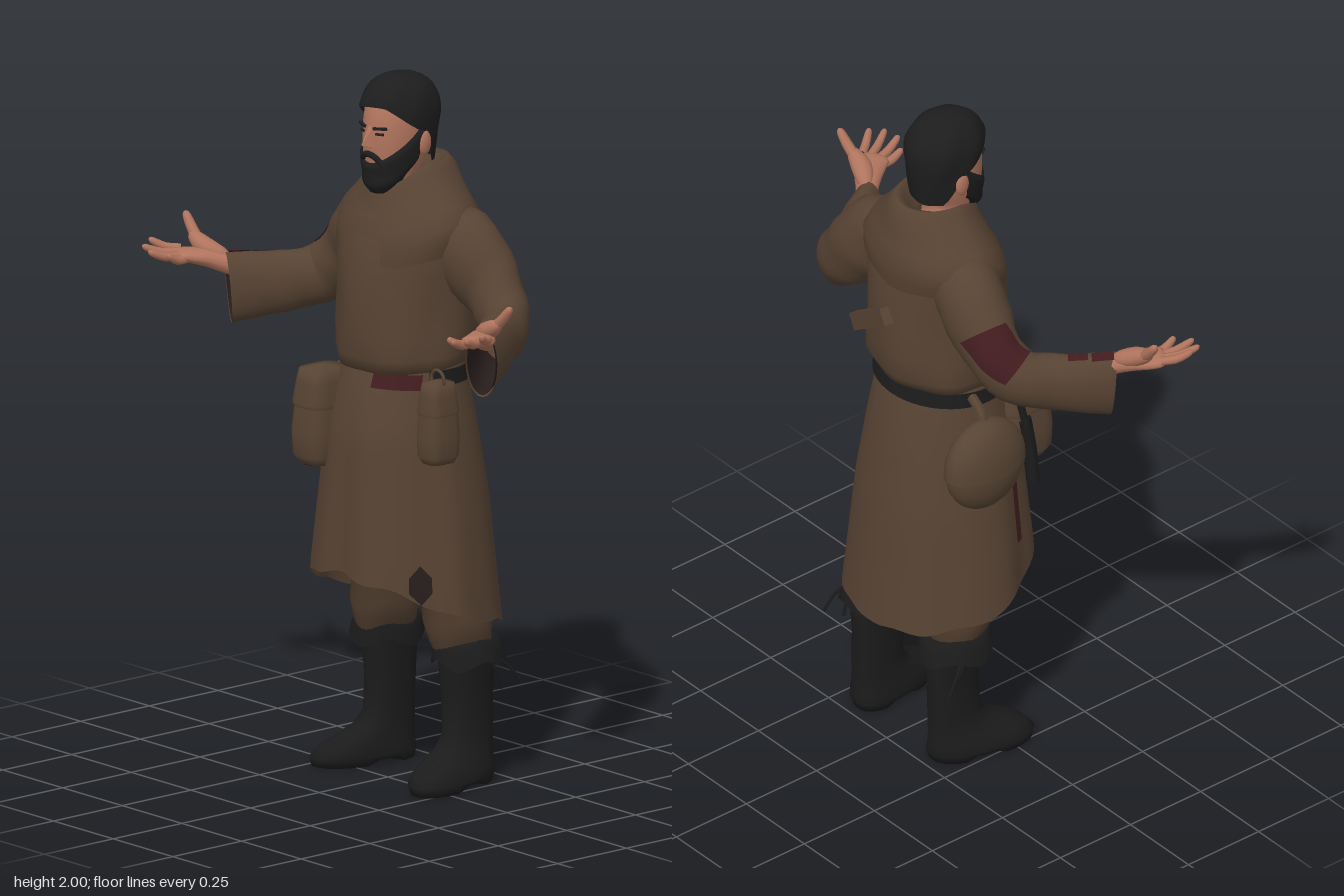
import * as THREE from 'three';
import { ConvexGeometry } from 'three/addons/geometries/ConvexGeometry.js';

const V = (x, y, z) => new THREE.Vector3(x, y, z);
const { sin, cos, abs, max, min, sign, pow, PI } = Math;
const TAU = PI * 2;
const mat = (name, color, side = THREE.FrontSide) => {
  const m = new THREE.MeshStandardMaterial({ color, side });
  m.name = name;
  return m;
};

// Surface from fn(u, v); its front faces dU x dV. A full turn in v is welded.
function grid(fn, nu, nv, [u0, u1] = [0, 1], [v0, v1] = [0, TAU]) {
  const closed = abs(v1 - v0 - TAU) < 1e-6, cols = closed ? nv : nv + 1;
  const pos = [], index = [];
  for (let i = 0; i <= nu; i++) {
    for (let j = 0; j < cols; j++) {
      const p = fn(u0 + (u1 - u0) * i / nu, v0 + (v1 - v0) * j / nv);
      pos.push(p.x, p.y, p.z);
    }
  }
  for (let i = 0; i < nu; i++) {
    for (let j = 0; j < nv; j++) {
      const k = (j + 1) % cols, a = i * cols, b = a + cols;
      index.push(a + j, b + j, b + k, a + j, b + k, a + k);
    }
  }
  const g = new THREE.BufferGeometry();
  g.setAttribute('position', new THREE.Float32BufferAttribute(pos, 3));
  g.setIndex(index);
  g.computeVertexNormals();
  return g;
}

// Rows are [y, centre x, centre z, half width, half depth], from bottom to top.
const rowAt = (rows, t) => {
  const i = min(Math.floor(t), rows.length - 2);
  return rows[i].map((a, k) => a + (rows[i + 1][k] - a) * (t - i));
};
const rowAtY = (rows, y) => {
  let i = 0;
  while (i < rows.length - 2 && rows[i + 1][0] < y) i++;
  const t = (y - rows[i][0]) / (rows[i + 1][0] - rows[i][0]);
  return rowAt(rows, i + min(1, max(0, t)));
};
const bend = (c, p) => sign(c) * pow(abs(c), p);
const ringPoint = ([y, cx, cz, rx, rz], a, off = 0, p = 1) =>
  V(cx + bend(cos(a), p) * (rx + off), y, cz + bend(sin(a), p) * (rz + off));

// Solid of stacked rings, with an optional rule that moves each point
function stack(rows, { p = 1, n = 28, warp = (q) => q } = {}) {
  const last = rows.length - 1;
  return grid((u, a) => warp(ringPoint(rowAt(rows, u * last), a, 0, p), a, u), last, n);
}

// Limb surface along a path; rows are [x, y, z, half width, half height]
function limb(rows) {
  const path = new THREE.CatmullRomCurve3(rows.map((r) => V(r[0], r[1], r[2])), false, 'catmullrom');
  const size = new THREE.CatmullRomCurve3(rows.map((r) => V(r[3], r[4], 0)), false, 'catmullrom');
  return (u, a, off = 0) => {
    const t = path.getTangent(u), s = size.getPoint(u);
    const side = t.clone().cross(V(0, 1, 0)).normalize(), up = side.clone().cross(t);
    return path.getPoint(u).addScaledVector(side, cos(a) * (s.x + off)).addScaledVector(up, sin(a) * (s.y + off));
  };
}

export function createModel() {
  const model = new THREE.Group();
  model.name = 'robedMan';
  const cloth = mat('brown cloth', 0x574333, THREE.DoubleSide);
  const trouser = mat('dark brown cloth', 0x503d2e);
  const leather = mat('pouch leather', 0x574433, THREE.DoubleSide);
  const skin = mat('skin', 0xb0745d);
  const hairMat = mat('black hair', 0x1d1d1e, THREE.DoubleSide);
  const black = mat('black leather', 0x1b1b1c, THREE.DoubleSide);
  const maroon = mat('maroon patch', 0x421c1f, THREE.DoubleSide);
  const lining = mat('dark lining', 0x281d1d, THREE.DoubleSide);
  const add = (name, geo, material, parent = model) => {
    const m = new THREE.Mesh(geo, material);
    m.name = name;
    parent.add(m);
    return m;
  };
  const rod = (name, pts, r, material) =>
    add(name, new THREE.TubeGeometry(new THREE.CatmullRomCurve3(pts.map((p) => V(...p))), 8, r, 6), material);

  // Skirt of the robe: hem high in front and low behind, folds deepen downward
  const skirt = [[0.43, 0, -0.066, 0.28, 0.253], [0.6, 0, -0.06, 0.265, 0.242], [0.8, 0, -0.06, 0.243, 0.225],
    [1.0, 0, -0.052, 0.215, 0.203], [1.12, 0, -0.055, 0.195, 0.175], [1.2, 0, -0.058, 0.185, 0.15]];
  const hem = (a) => (sin(a) > 0 ? 0.49 + 0.12 * pow(sin(a), 1.2) : 0.49 + 0.06 * sin(a)) + 0.006 * sin(a * 9);
  const skirtPoint = (y, a, off = 0) => {
    const fold = (1.2 - y) * (0.013 * sin(a * 6 + 1) + 0.007 * sin(a * 11)) * (0.55 + 0.45 * sin(a));
    return ringPoint(rowAtY(skirt, y), a, fold + off);
  };
  add('robeSkirt', grid((u, a) => skirtPoint(hem(a) + (1.2 - hem(a)) * u, a), 14, 72), cloth);
  add('skirtTear', grid((u, a) => skirtPoint(0.6 + (u - 0.5) * 0.11 * (1 - 0.6 * abs(a - 0.58) / 0.13), a, 0.004),
    4, 6, [0, 1], [0.45, 0.71]), lining);
  add('skirtSlit', grid((y, a) => skirtPoint(y, a, 0.004), 6, 2, [0.66, 0.86], [2.68, 2.8]), maroon);

  // Belt round the sides and back, with a maroon piece in front
  const belt = (name, a0, a1, y0, y1, off, m) =>
    add(name, grid((u, a) => ringPoint(rowAtY(skirt, u), a, off), 1, 32, [y0, y1], [a0, a1]), m);
  belt('belt', PI - 0.4, TAU + 0.4, 1.148, 1.192, 0.012, black);
  belt('beltFront', 0.5, 1.28, 1.14, 1.182, 0.008, maroon);

  // Upper robe, bloused over the belt
  const torso = [[1.185, 0, -0.06, 0.165, 0.14], [1.195, 0, -0.062, 0.192, 0.172], [1.23, 0, -0.066, 0.206, 0.186],
    [1.3, 0, -0.068, 0.206, 0.189], [1.38, 0, -0.068, 0.204, 0.185], [1.46, 0, -0.069, 0.208, 0.181],
    [1.54, 0, -0.074, 0.214, 0.168], [1.61, 0, -0.08, 0.205, 0.15], [1.67, 0, -0.085, 0.15, 0.12]];
  add('robeTop', stack(torso, {
    n: 48,
    warp: (q, a, u) => {
      const f = 1 + (1 - u) * 0.03 * sin(a * 7 + u * 5) + 0.012 * sin(a * 4 - u * 9);
      return V(q.x * f, q.y - 0.02 * max(0, sin(a)) * (1 - u), -0.065 + (q.z + 0.065) * f);
    },
  }), cloth);

  // Draped cowl with a rolled collar, dipping to the chest in front
  const cowl = [[1.48, 0, -0.072, 0.2, 0.168], [1.55, 0, -0.074, 0.225, 0.178], [1.6, 0, -0.077, 0.228, 0.168],
    [1.64, 0, -0.078, 0.195, 0.158], [1.685, 0, -0.08, 0.152, 0.146], [1.73, 0, -0.08, 0.115, 0.132],
    [1.755, 0, -0.075, 0.1, 0.116], [1.745, 0, -0.07, 0.088, 0.1], [1.68, 0, -0.06, 0.06, 0.07]];
  add('cowl', stack(cowl, {
    n: 48,
    warp: (q, a, u) => {
      const s = sin(a), f = 1 + 0.026 * sin(u * 15 + 2.5 * s) * abs(s);
      return V(q.x * f, q.y - 0.07 * max(0, s) * pow(abs(s), 0.5) + 0.012 * (1 - u) * abs(cos(a)), -0.07 + (q.z + 0.07) * f);
    },
  }), cloth);

  // Cloth strip sewn across the back
  const strip = add('backStrip', new THREE.BoxGeometry(0.2, 0.05, 0.03), cloth);
  strip.position.set(0.065, 1.37, -0.25);
  strip.rotation.set(0, -0.16, -0.6);

  for (const s of [1, -1]) {
    const sideName = s > 0 ? 'left' : 'right';
    const put = (rows, i = 0) => rows.map((r) => r.map((v, k) => (k === i ? v * s : v)));

    // Sleeve with a wide open cuff
    const sleeve = limb(put([[0.1, 1.575, -0.095, 0.09, 0.085], [0.2, 1.515, -0.115, 0.096, 0.115],
      [0.295, 1.42, -0.127, 0.08, 0.093], [0.375, 1.348, -0.1, 0.07, 0.083], [0.43, 1.325, -0.025, 0.058, 0.085],
      [0.485, 1.315, 0.05, 0.052, 0.093], [0.53, 1.308, 0.12, 0.046, 0.101]]));
    const folded = (u, a, off = 0) => sleeve(u, a, off + 0.005 * sin(u * 34 + a * 2) * (1 - u));
    add(sideName + 'Sleeve', grid(folded, 24, 24), cloth);
    add(sideName + 'CuffLining', grid((u, a) => sleeve(u, a, -0.005), 6, 24, [0.6, 0.998]), lining);
    if (s < 0) {
      add('elbowPatch', grid((u, a) => folded(u, a, 0.004), 8, 12, [0.29, 0.48], [0.1, 1.8]), maroon);
      add('forearmPatch', grid((u, a) => folded(u, a, 0.004), 4, 5, [0.74, 0.84], [1.2, 1.65]), maroon);
      add('cuffPatch', grid((u, a) => folded(u, a, 0.004), 4, 5, [0.86, 0.985], [1.1, 1.6]), maroon);
    }

    // Open hand, palm up, thumb side raised
    const hand = new THREE.Group();
    hand.name = sideName + 'Hand';
    model.add(hand);
    add('palm', grid(limb(put([[0.49, 1.35, 0.06, 0.028, 0.028], [0.535, 1.375, 0.12, 0.03, 0.028],
      [0.57, 1.39, 0.155, 0.038, 0.026], [0.602, 1.397, 0.19, 0.045, 0.021], [0.622, 1.402, 0.22, 0.042, 0.014],
      [0.627, 1.403, 0.228, 0.001, 0.001]])), 14, 14), skin, hand);
    add('thumbBase', grid(limb(put([[0.53, 1.385, 0.115, 0.002, 0.002], [0.545, 1.395, 0.125, 0.02, 0.02],
      [0.59, 1.415, 0.15, 0.03, 0.027], [0.635, 1.44, 0.155, 0.018, 0.018], [0.65, 1.45, 0.155, 0.002, 0.002]])), 10, 12), skin, hand);
    const fingers = [[0.645, 1.41, 0.195, 0.697, 1.44, 0.265], [0.63, 1.404, 0.212, 0.678, 1.43, 0.306],
      [0.61, 1.399, 0.222, 0.636, 1.424, 0.32], [0.59, 1.394, 0.22, 0.588, 1.418, 0.292], [0.6, 1.42, 0.155, 0.684, 1.5, 0.145]];
    fingers.forEach(([x, y, z, X, Y, Z], i) => {
      const r = i === 4 ? 0.016 : 0.0125, at = (t, q) =>
        [x + (X - x) * t, y + (Y - y) * t - 0.01 * sin(t * PI), z + (Z - z) * t, q, q];
      add(i === 4 ? 'thumb' : 'finger', grid(limb(put([at(0, r), at(0.45, r), at(0.8, r * 0.85), at(0.95, r * 0.6), at(1, 0.0005)])), 8, 8), skin, hand);
    });

    // Trouser leg, boot, turned-down cuff and laces
    add(sideName + 'TrouserLeg', stack(put([[0.36, 0.16, -0.13, 0.055, 0.075], [0.41, 0.157, -0.125, 0.084, 0.09],
      [0.46, 0.152, -0.12, 0.093, 0.098], [0.54, 0.145, -0.115, 0.086, 0.095], [0.75, 0.11, -0.1, 0.1, 0.12]], 1),
    { warp: (q, a) => V(q.x, q.y + 0.01 * sin(a * 3), q.z) }), trouser);
    add(sideName + 'Boot', stack(put([[0, 0.177, -0.07, 0.001, 0.001], [0, 0.177, -0.07, 0.072, 0.15], [0.025, 0.178, -0.07, 0.076, 0.158],
      [0.05, 0.177, -0.079, 0.072, 0.147], [0.075, 0.173, -0.1, 0.063, 0.124], [0.1, 0.169, -0.128, 0.056, 0.096],
      [0.14, 0.165, -0.147, 0.052, 0.078], [0.25, 0.161, -0.148, 0.054, 0.077], [0.37, 0.163, -0.145, 0.066, 0.085]], 1), {
      p: 0.85,
      n: 36,
      warp: (q) => V(q.x + s * (q.z + 0.12) * 0.17 * max(0, 1 - q.y / 0.15),
        q.y + (q.y < 0.01 && abs(q.z + 0.09) < 0.05 ? 0.014 : 0), q.z),
    }), black);
    add(sideName + 'BootCuff', stack(put([[0.345, 0.172, -0.146, 0.096, 0.11], [0.385, 0.167, -0.143, 0.09, 0.103],
      [0.412, 0.163, -0.14, 0.08, 0.094], [0.405, 0.162, -0.14, 0.06, 0.08]], 1),
    { warp: (q, a, u) => V(q.x, q.y + 0.014 * sin(a * 4 + s) * (1 - u), q.z) }), black);
    rod(sideName + 'Lace', [[s * 0.235, 0.37, -0.17], [s * 0.262, 0.33, -0.215], [s * 0.272, 0.28, -0.25]], 0.005, black);
    rod(sideName + 'Lace', [[s * 0.235, 0.36, -0.16], [s * 0.242, 0.31, -0.19], [s * 0.235, 0.265, -0.21]], 0.005, black);
  }

  // Head
  const face = [[1.62, 0, -0.06, 0.055, 0.055], [1.69, 0, -0.045, 0.058, 0.065], [1.7, 0, -0.012, 0.055, 0.068],
    [1.735, 0, -0.018, 0.07, 0.08], [1.78, 0, -0.026, 0.08, 0.094], [1.82, 0, -0.033, 0.085, 0.102],
    [1.86, 0, -0.036, 0.087, 0.103], [1.91, 0, -0.042, 0.086, 0.1], [1.95, 0, -0.045, 0.07, 0.08], [1.97, 0, -0.045, 0.001, 0.001]];
  add('head', stack(face), skin);
  const nose = [[0, 1.868, 0.068], [0, 1.814, 0.097], [0, 1.803, 0.064]];
  for (const s of [1, -1]) nose.push([s * 0.011, 1.865, 0.06], [s * 0.017, 1.806, 0.066]);
  add('nose', new ConvexGeometry(nose.map((p) => V(...p))), skin);
  for (const s of [1, -1]) {
    const ear = add('ear', new THREE.SphereGeometry(1, 12, 8), skin);
    ear.scale.set(0.013, 0.036, 0.022);
    ear.position.set(s * 0.09, 1.815, -0.055);
    const brow = add('eyebrow', new THREE.BoxGeometry(0.04, 0.007, 0.009), hairMat);
    brow.position.set(s * 0.036, 1.862, 0.06);
    brow.rotation.set(0, s * 0.42, s * 0.06);
    const eye = add('eye', new THREE.BoxGeometry(0.024, 0.006, 0.008), lining);
    eye.position.set(s * 0.035, 1.846, 0.06);
    eye.rotation.y = s * 0.42;
  }

  // Swept hair: high uneven hairline in front, over the ears, down to the nape
  const hairLow = (a) => {
    const s = sin(a);
    return s > 0 ? 1.85 + 0.065 * pow(min(1, s * 1.2), 1.3) + 0.01 * cos(a - 0.6) * s : 1.85 - 0.1 * min(1, -s * 1.8);
  };
  add('hair', grid((u, a) => {
    const y = hairLow(a) + (2.0 - hairLow(a)) * sin(u * PI / 2);
    const f = y > 1.89 ? pow(max(0, 1 - pow((y - 1.89) / 0.11, 2)), 0.4) : 1 - 2.0 * pow(1.89 - y, 1.25);
    const wave = 1 + 0.02 * sin(a * 7 + y * 30);
    return V(cos(a) * 0.1 * f * wave, y, -0.045 + sin(a) * (sin(a) > 0 ? 0.127 : 0.12) * f * wave);
  }, 14, 40), hairMat);

  // Full square beard rising into sideburns, and moustache
  add('beard', grid((u, a) => {
    const d = min(1, abs(a - PI / 2) / 1.68), lo = 1.672 + 0.06 * pow(d, 3), hi = 1.76 + 0.105 * pow(d, 1.8);
    const k = min(1, u * 4), y = lo + (hi - lo) * u;
    const q = ringPoint(rowAtY(face, max(y, 1.73)), a, u > 0.95 ? 0.002 : 0.01);
    return V(q.x * (0.72 + 0.28 * k), y, -0.01 + (q.z + 0.01) * (0.78 + 0.22 * k));
  }, 10, 28, [0, 1], [PI / 2 - 1.68, PI / 2 + 1.68]), hairMat);
  rod('moustache', [[-0.044, 1.752, 0.052], [-0.022, 1.78, 0.066], [0, 1.786, 0.07], [0.022, 1.78, 0.066], [0.044, 1.752, 0.052]], 0.009, hairMat);

  // Soft pouch, widest low down, with an overhanging flap
  const pouch = (name, x, z, y0, y1, rx, rz) => {
    const h = y1 - y0, row = (t, f) => [y0 + h * t, x, z, rx * f, rz * f];
    add(name, stack([row(0, 0.01), row(0.01, 0.75), row(0.1, 0.96), row(0.35, 1), row(0.75, 0.86), row(0.95, 0.72), row(1, 0.01)], { p: 0.6 }), leather);
    add(name + 'Flap', stack([row(0.6, 0.94), row(0.64, 0.97), row(0.85, 0.86), row(0.98, 0.76), row(1.02, 0.01)], { p: 0.6 }), leather);
  };
  pouch('frontPouch', -0.155, 0.1, 0.885, 1.16, 0.066, 0.085);
  pouch('leftPouch', 0.225, 0.012, 0.942, 1.175, 0.046, 0.056);
  const loop = add('pouchLoop', new THREE.TorusGeometry(0.026, 0.005, 6, 18), leather);
  loop.position.set(0.232, 1.182, 0.02);

  // Round shoulder bag hanging behind the right hip, with its flap
  const bag = (f) => (u, v) => V(-0.256 + 0.072 * f * sin(u) * cos(v), 0.995 - 0.137 * f * cos(u), -0.112 + 0.128 * f * sin(u) * sin(v));
  add('hipBag', grid(bag(1), 14, 24, [0.01, PI - 0.01]), leather);
  add('hipBagFlap', grid(bag(1.04), 8, 24, [1.5, PI - 0.01]), leather);
  rod('hipBagStrap', [[-0.185, 1.175, -0.1], [-0.23, 1.15, -0.105], [-0.255, 1.1, -0.11]], 0.016, leather);

  // Sheathed dagger between the bag and the front pouch
  rod('daggerSheath', [[-0.222, 1.05, 0.06], [-0.233, 0.95, 0.07], [-0.245, 0.855, 0.07]], 0.02, black);
  rod('daggerHilt', [[-0.205, 1.12, 0.05], [-0.214, 1.08, 0.055], [-0.222, 1.04, 0.06]], 0.012, black);
  rod('daggerGuard', [[-0.255, 1.05, 0.035], [-0.225, 1.045, 0.065], [-0.2, 1.035, 0.09]], 0.009, black);

  return model;
}
